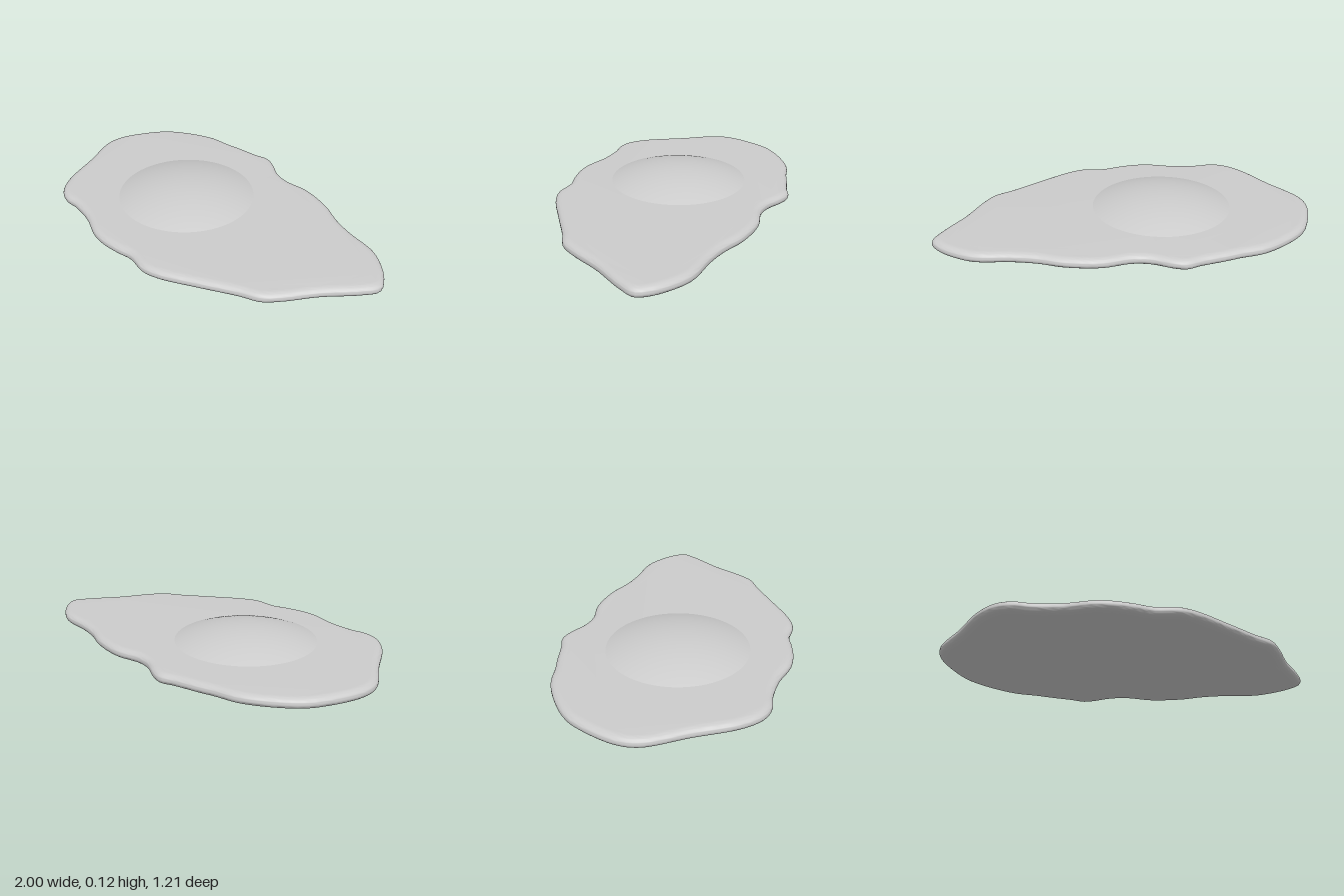
import * as THREE from 'three';
import { toCreasedNormals } from 'three/addons/utils/BufferGeometryUtils.js';

// Wavy rim of the slab as [x, z] control points
const RIM = [
  [-1, -0.13], [-1, -0.02], [-0.9, 0.185], [-0.8, 0.4], [-0.72, 0.49], [-0.64, 0.52],
  [-0.56, 0.517], [-0.415, 0.54], [-0.275, 0.592], [-0.185, 0.602], [-0.08, 0.592],
  [0.01, 0.575], [0.125, 0.592], [0.215, 0.57], [0.405, 0.468], [0.575, 0.372],
  [0.67, 0.327], [0.735, 0.25], [0.83, 0.1], [0.95, -0.05], [0.997, -0.135],
  [0.965, -0.205], [0.885, -0.285], [0.795, -0.34], [0.617, -0.377], [0.5, -0.415],
  [0.377, -0.475], [0.2, -0.516], [0.055, -0.505], [-0.035, -0.527], [-0.13, -0.585],
  [-0.195, -0.607], [-0.265, -0.59], [-0.4, -0.57], [-0.48, -0.555], [-0.6, -0.54],
  [-0.72, -0.49], [-0.853, -0.4], [-0.92, -0.313],
];
const THICKNESS = 0.055;

export function createModel() {
  const group = new THREE.Group();
  const material = new THREE.MeshStandardMaterial({ color: 0xcccccc });

  // Flat slab with a softly rounded rim
  const curve = new THREE.CatmullRomCurve3(RIM.map(([x, z]) => new THREE.Vector3(x, z, 0)), true);
  const outline = curve.getSpacedPoints(200).slice(0, -1).map((p) => new THREE.Vector2(p.x, p.y));
  const bevel = 0.024;
  const slabGeometry = new THREE.ExtrudeGeometry(new THREE.Shape(outline), {
    depth: THICKNESS - 2 * bevel,
    bevelThickness: bevel,
    bevelSize: 0.04,
    bevelOffset: -0.04,
    bevelSegments: 8,
  });
  slabGeometry.rotateX(Math.PI / 2).translate(0, THICKNESS - bevel, 0);
  const white = new THREE.Mesh(toCreasedNormals(slabGeometry, Math.PI / 4), material);
  white.name = 'eggWhite';
  group.add(white);

  // Shallow dome: a spherical cap resting on the slab
  const capRadius = 0.37;
  const capHeight = 0.067;
  const R = (capRadius ** 2 + capHeight ** 2) / (2 * capHeight);
  const dome = new THREE.SphereGeometry(R, 72, 16, 0, Math.PI * 2, 0, Math.asin(capRadius / R));
  const yolk = new THREE.Mesh(dome, material);
  yolk.name = 'yolk';
  yolk.position.set(-0.215, THICKNESS + capHeight - R, 0.015);
  group.add(yolk);

  return group;
}
